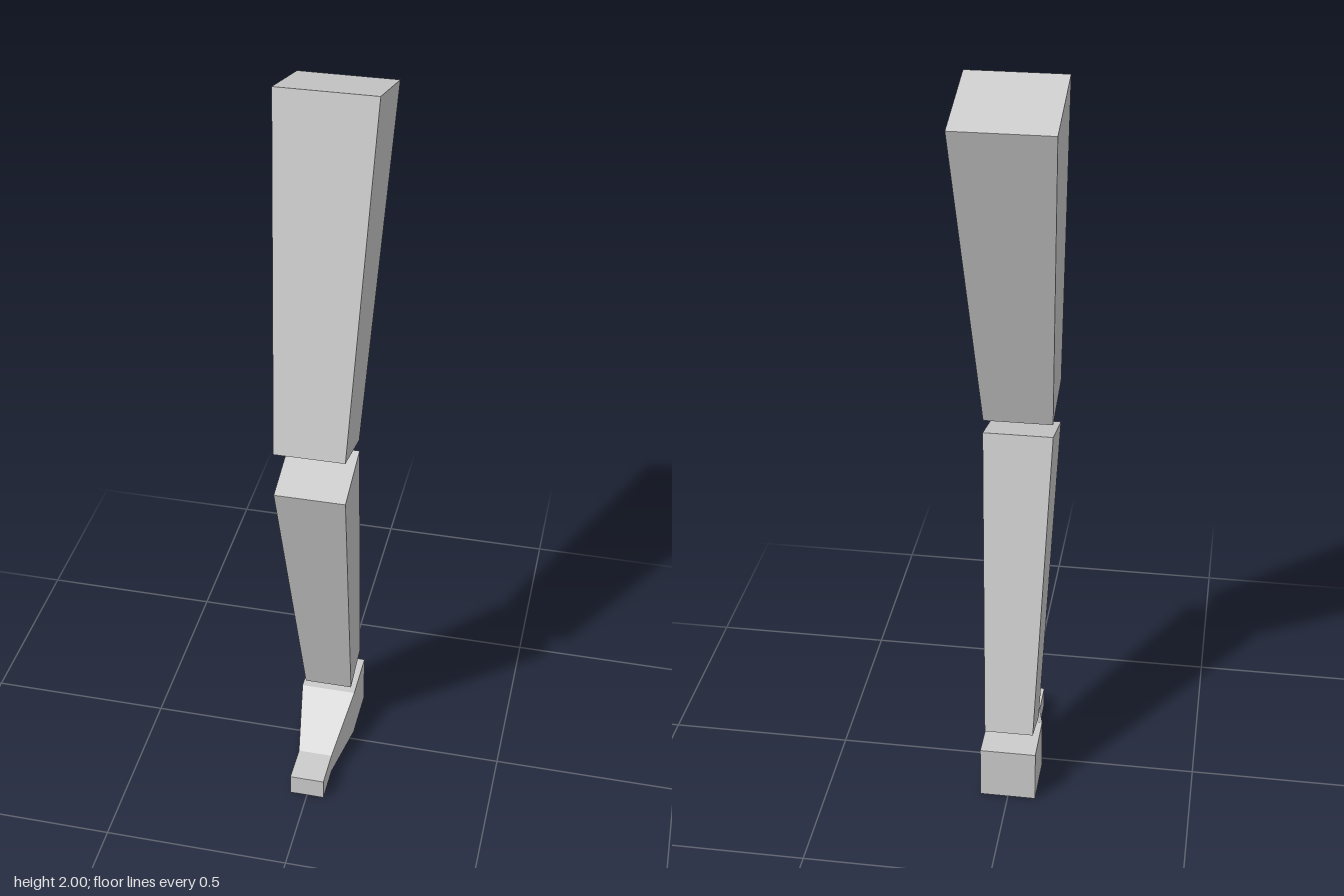
import * as THREE from 'three';

// Solid lofted through four-cornered sections.
// Each section is { w: half width, a: [y, z], b: [y, z] }, where a and b are its two edges across x.
function loft(sections) {
  const rings = sections.map(({ w, a, b }) => [
    [-w, ...a], [w, ...a], [w, ...b], [-w, ...b],
  ]);
  const pos = [];
  const quad = (p, q, r, s) => pos.push(...p, ...q, ...r, ...p, ...r, ...s);

  // sides
  for (let k = 0; k < rings.length - 1; k++) {
    for (let i = 0; i < 4; i++) {
      const j = (i + 1) % 4;
      quad(rings[k][i], rings[k][j], rings[k + 1][j], rings[k + 1][i]);
    }
  }
  // end caps
  const first = rings[0], last = rings[rings.length - 1];
  quad(first[3], first[2], first[1], first[0]);
  quad(last[0], last[1], last[2], last[3]);

  const geometry = new THREE.BufferGeometry();
  geometry.setAttribute('position', new THREE.Float32BufferAttribute(pos, 3));
  geometry.computeVertexNormals();
  return geometry;
}

export function createModel() {
  const model = new THREE.Group();
  model.name = 'leg';

  const lightGrey = new THREE.MeshStandardMaterial({ color: 0xcccccc });
  lightGrey.name = 'lightGrey';

  const add = (name, sections) => {
    const mesh = new THREE.Mesh(loft(sections), lightGrey);
    mesh.name = name;
    model.add(mesh);
  };

  // thigh: knee end to hip end, front edge then back edge
  add('thigh', [
    { w: 0.091, a: [1.114, 0.191], b: [1.07, 0.021] },
    { w: 0.126, a: [2, 0.002], b: [1.936, -0.245] },
  ]);

  // shin: ankle end to knee end
  add('shin', [
    { w: 0.066, a: [0.17, -0.031], b: [0.203, -0.156] },
    { w: 0.092, a: [0.989, 0.191], b: [1.035, 0.019] },
  ]);

  // foot: heel to toe, bottom edge then top edge
  add('foot', [
    { w: 0.076, a: [0, -0.176], b: [0.151, -0.176] },
    { w: 0.076, a: [0, -0.03], b: [0.151, -0.03] },
    { w: 0.047, a: [0, 0.141], b: [0.061, 0.141] },
    { w: 0.047, a: [0, 0.245], b: [0.061, 0.245] },
  ]);

  return model;
}
